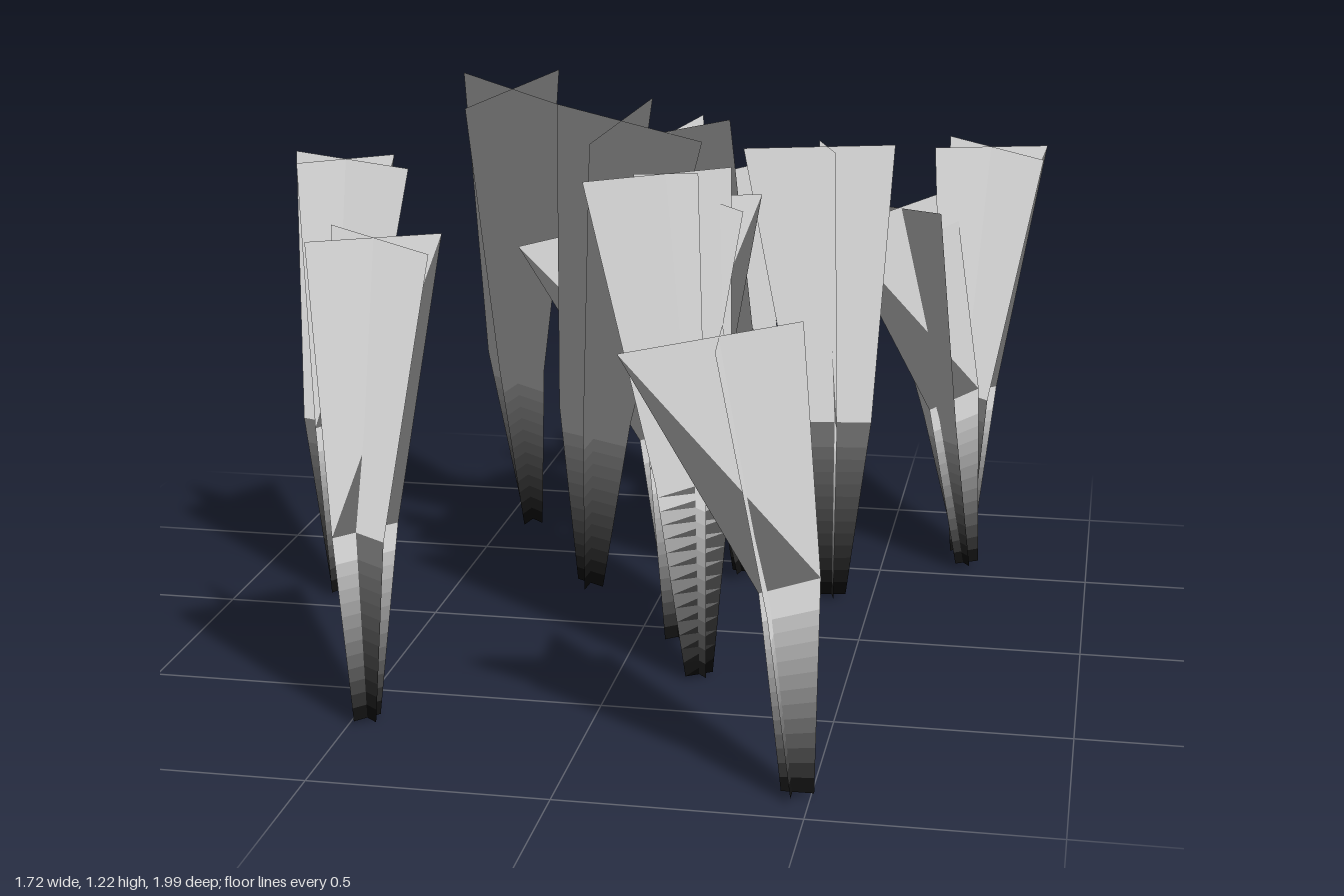
import * as THREE from 'three';

// Each blade has three rungs (base, bend, tip); a rung is two [x, y, z] ends.
const UPRIGHT = [
  [[[0.03, 0.01, 0.015], [-0.03, 0.01, -0.015]],
   [[0.08, 0.43, 0.05], [-0.085, 0.43, -0.015]],
   [[0.21, 1.055, 0.07], [-0.105, 1.06, -0.085]]],
  [[[-0.015, 0.01, 0.03], [0.015, 0.01, -0.03]],
   [[-0.03, 0.43, 0.07], [0.04, 0.43, -0.08]],
   [[-0.035, 1.07, 0.13], [0.11, 1.045, -0.165]]],
];
const LEANING = [
  [[[-0.01, 0.015, 0.033], [-0.01, 0.015, -0.033]],
   [[-0.06, 0.38, 0.03], [-0.07, 0.37, -0.13]],
   [[-0.155, 0.92, 0.095], [-0.195, 0.89, -0.25]]],
  [[[0.033, 0.015, 0], [-0.033, 0.015, 0]],
   [[0.035, 0.45, -0.03], [-0.09, 0.4, -0.06]],
   [[-0.015, 0.94, -0.1], [-0.37, 0.87, -0.055]]],
];

// Where each tuft stands: yaw in degrees, height factor, mirror, lean per unit height
const TUFTS = [
  { form: UPRIGHT, x: -0.76, z: -0.1, yaw: 0 },
  { form: UPRIGHT, x: -0.467, z: 0.675, yaw: 14, tall: 0.985 },
  { form: UPRIGHT, x: 0.687, z: -0.685, yaw: 23, tall: 0.98, wide: 1.04 },
  { form: UPRIGHT, x: 0.093, z: 0.075, yaw: 24, tall: 0.98 },
  { form: UPRIGHT, x: 0.405, z: -0.28, yaw: 13, mirror: -1, tall: 1.03 },
  { form: UPRIGHT, x: 0.18, z: 0.3, yaw: -9, mirror: -1, tall: 1.05, lean: [-0.05, -0.07] },
  { form: UPRIGHT, x: -0.43, z: -0.725, yaw: 3, tall: 1.12, lean: [0, 0.29] },
  { form: UPRIGHT, x: -0.18, z: -0.255, yaw: -12, tall: 1.125, lean: [0.09, 0.28] },
  { form: LEANING, x: 0.475, z: 0.903, yaw: 0 },
  { form: LEANING, x: 0.172, z: -0.804, yaw: -14.6 },
  { form: LEANING, x: 0.042, z: -0.603, yaw: -44, wide: 0.95 },
  { form: LEANING, x: 0.708, z: -0.565, yaw: -32, wide: 0.95 },
  { form: LEANING, x: 0.06, z: -0.135, yaw: -14 },
  { form: LEANING, x: 0.18, z: -0.385, yaw: 191, mirror: -1, tall: 1.22, wide: 0.97 },
];

// Bands from the dark root up to the bend, then one pale band to the tip
const ROOT_BANDS = 14;

// Turn, lean and place one template point
function place([px, py, pz], { x, z, yaw, mirror = 1, tall = 1, wide = 1, lean = [0, 0] }) {
  const a = THREE.MathUtils.degToRad(yaw), c = Math.cos(a), s = Math.sin(a);
  const mx = px * mirror * wide, mz = pz * wide;
  const rx = mx * c - mz * s, rz = mx * s + mz * c;
  const h = py * tall;
  const y = h - lean[0] * rx - lean[1] * rz;
  return new THREE.Vector3(x + rx + lean[0] * h, Math.max(0, y), z + rz + lean[1] * h);
}

const mixRung = (a, b, t) => a.map((p, i) => p.map((v, k) => v + (b[i][k] - v) * t));

// One quad between two rungs, with foliage normals pointing up and a touch outward
function bandGeometry(low, high, tuft) {
  const corners = [...low, ...high].map((p) => place(p, tuft));
  const order = tuft.mirror === -1 ? [0, 3, 1, 0, 2, 3] : [0, 1, 3, 0, 3, 2];
  const normal = new THREE.Triangle(...order.slice(0, 3).map((i) => corners[i]))
    .getNormal(new THREE.Vector3()).setY(0).multiplyScalar(0.04);
  normal.y = 1;
  normal.normalize();
  const geo = new THREE.BufferGeometry().setFromPoints(order.map((i) => corners[i]));
  geo.setAttribute('normal',
    new THREE.Float32BufferAttribute(order.flatMap(() => normal.toArray()), 3));
  return geo;
}

function makeBlade([base, bend, tip], tuft, rootMaterials, leafMaterial) {
  const blade = new THREE.Group();
  const addBand = (name, low, high, material) => {
    const band = new THREE.Mesh(bandGeometry(low, high, tuft), material);
    band.name = name;
    blade.add(band);
  };
  rootMaterials.forEach((material, i) => addBand('bladeRoot',
    mixRung(base, bend, i / ROOT_BANDS), mixRung(base, bend, (i + 1) / ROOT_BANDS), material));
  addBand('bladeTip', bend, tip, leafMaterial);
  return blade;
}

export function createModel() {
  const model = new THREE.Group();
  model.name = 'grassPatch';
  const leafMaterial = new THREE.MeshStandardMaterial({ color: 0xcccccc, side: THREE.DoubleSide });
  // Root colours fade from black to the leaf grey
  const rootMaterials = Array.from({ length: ROOT_BANDS }, (_, i) =>
    new THREE.MeshStandardMaterial({
      color: new THREE.Color(0xcccccc).multiplyScalar(((i + 0.5) / ROOT_BANDS) ** 1.5),
      side: THREE.DoubleSide,
    }));
  TUFTS.forEach((tuft, i) => {
    const group = new THREE.Group();
    group.name = `grassTuft${i + 1}`;
    // Two crossed blades per tuft
    tuft.form.forEach((rungs, j) => {
      const blade = makeBlade(rungs, tuft, rootMaterials, leafMaterial);
      blade.name = j === 0 ? 'grassBlade' : 'crossBlade';
      group.add(blade);
    });
    model.add(group);
  });
  return model;
}
